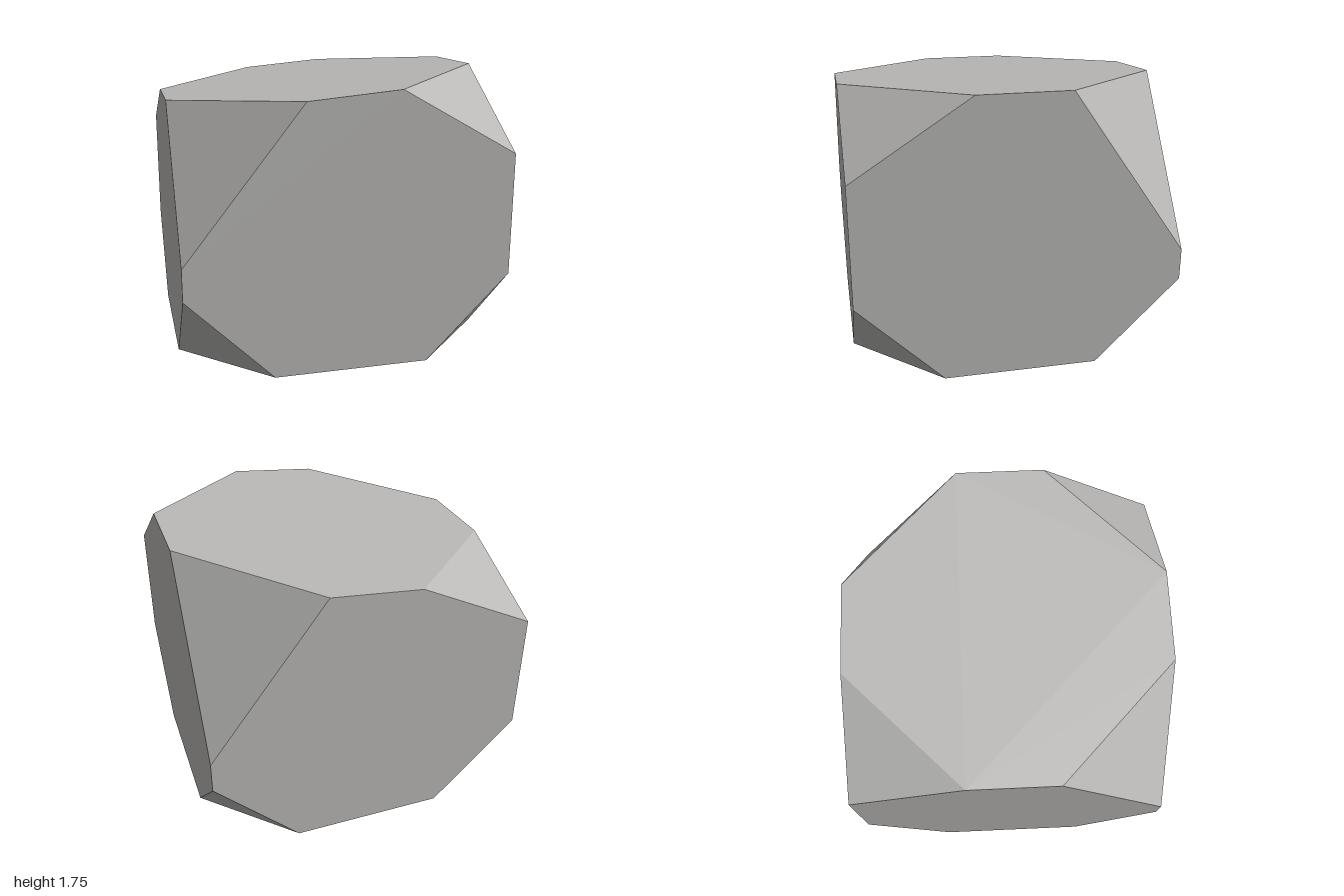
import * as THREE from 'three';
import { ConvexGeometry } from 'three/addons/geometries/ConvexGeometry.js';

// Height of the sloping top, rising towards +x
const topY = (x) => 1.66 + 0.09 * x;

export function createModel() {
  const stoneGrey = new THREE.MeshStandardMaterial({ color: 0xb8b7b5 });
  stoneGrey.name = 'stoneGrey';

  const topCut = 0.28;    // where the top corner cuts meet the top edges
  const bottomCut = 0.475; // where the bottom corner cuts meet the bottom edges
  const points = [];
  const add = (x, y, z) => points.push(new THREE.Vector3(x, y, z));

  // Each upright edge gives one cut corner above and one below
  for (const sx of [-1, 1]) {
    for (const sz of [-1, 1]) {
      // top cut: shallow on one diagonal, deep on the other
      add(sx * topCut, topY(sx * topCut), sz);
      add(sx, topY(sx), sz * topCut);
      add(sx, sx === sz ? 1.28 : 0.72, sz);
      // bottom cut: equal on all corners
      add(sx * bottomCut, 0, sz);
      add(sx, 0, sz * bottomCut);
      add(sx, 0.525, sz);
    }
  }

  const block = new THREE.Mesh(new ConvexGeometry(points), stoneGrey);
  block.name = 'facetedBlock';

  const model = new THREE.Group();
  model.name = 'cutStone';
  model.add(block);
  return model;
}
